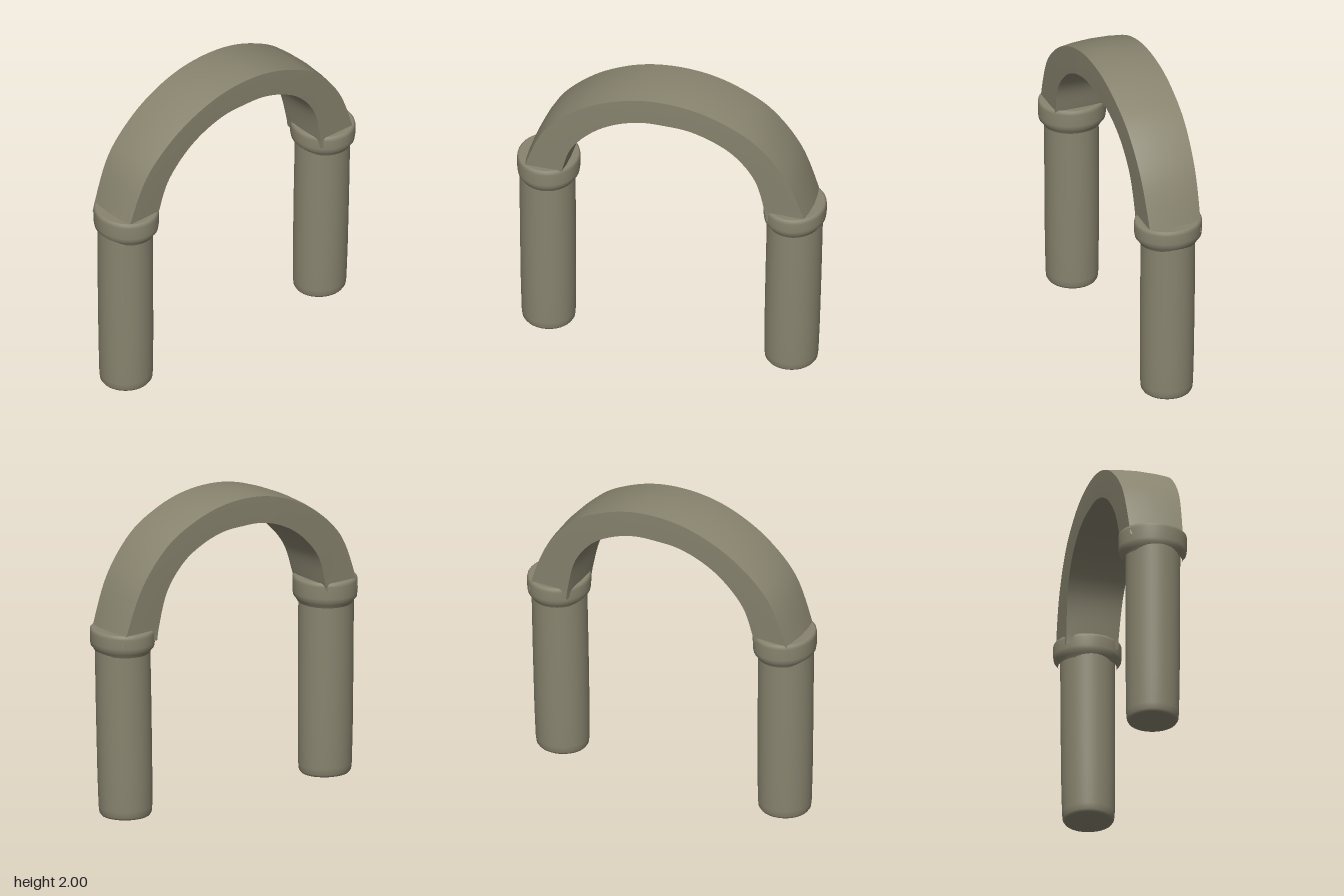
import * as THREE from 'three';

const stone = new THREE.MeshStandardMaterial({ color: 0x88846f });
stone.name = 'weathered stone';

// Turned part with an elliptical plan; x may lean with height
function turned(name, profile, x, zScale, lean = 0) {
  const geometry = new THREE.LatheGeometry(profile.map(([r, y]) => new THREE.Vector2(r, y)), 40);
  const p = geometry.attributes.position;
  for (let i = 0; i < p.count; i++) {
    p.setXYZ(i, p.getX(i) + x + lean * p.getY(i), p.getY(i), p.getZ(i) * zScale);
  }
  const mesh = new THREE.Mesh(geometry, stone);
  mesh.name = name;
  return mesh;
}

// Shaft with a softly worn foot, running up into the capital
function column(name, x, lean, bottom, top) {
  return turned(name, [
    [0, bottom], [0.14, bottom], [0.156, bottom + 0.005], [0.166, bottom + 0.02],
    [0.17, bottom + 0.06], [0.174, 0.3], [0.176, 0.7], [0.176, top],
  ], x, 0.97, lean);
}

// Round collar with a flared underside and a crisper top edge
function capital(name, x, bottom, top) {
  return turned(name, [
    [0.168, bottom - 0.02], [0.178, bottom], [0.192, bottom + 0.018], [0.196, bottom + 0.045],
    [0.197, top - 0.025], [0.194, top - 0.008], [0.186, top], [0.18, top], [0, top],
  ], x, 1.1);
}

// Arch swept between an outer and an inner curve, with four crisp-edged faces
function arch() {
  const curve = (pts) => new THREE.CatmullRomCurve3(pts.map(([x, y]) => new THREE.Vector3(x, y, 0)));
  const outer = curve([
    [-0.95, 1.22], [-0.93, 1.29], [-0.8, 1.6], [-0.6, 1.8], [-0.4, 1.915], [-0.2, 1.98], [0, 2],
    [0.2, 1.98], [0.4, 1.915], [0.6, 1.8], [0.8, 1.56], [0.925, 1.25], [0.945, 1.18],
  ]);
  const inner = curve([
    [-0.68, 1.22], [-0.66, 1.29], [-0.6, 1.48], [-0.46, 1.645], [-0.31, 1.74], [-0.15, 1.79], [0, 1.797],
    [0.15, 1.79], [0.3, 1.745], [0.45, 1.655], [0.575, 1.49], [0.635, 1.25], [0.645, 1.18],
  ]);
  // Section faces: [position from inner to outer, position across the depth]
  const lo = 0.05, hi = 0.93;
  const faces = [
    [[lo, 0.985], [0.5, 1], [hi, 1]],
    [[hi, 1], [0.975, 0.6], [1, 0], [0.975, -0.6], [hi, -1]],
    [[hi, -1], [0.5, -1], [lo, -0.985]],
    [[lo, -0.985], [0.01, -0.6], [0, 0], [0.01, 0.6], [lo, 0.985]],
  ];
  const steps = 72, position = [], index = [];
  for (const face of faces) {
    const start = position.length / 3, n = face.length;
    for (let i = 0; i <= steps; i++) {
      const a = inner.getPoint(i / steps), b = outer.getPoint(i / steps);
      const rise = Math.min(1, Math.max(0, (b.y - 1.25) / 0.7));
      const depth = 0.171 + 0.024 * rise;
      for (const [u, v] of face) {
        const q = a.clone().lerp(b, u);
        position.push(q.x, q.y, v * depth - 0.006);
      }
    }
    for (let i = 0; i < steps; i++) {
      for (let j = 0; j < n - 1; j++) {
        const k = start + i * n + j;
        index.push(k, k + n, k + 1, k + n, k + n + 1, k + 1);
      }
    }
  }
  const geometry = new THREE.BufferGeometry();
  geometry.setAttribute('position', new THREE.Float32BufferAttribute(position, 3));
  geometry.setIndex(index);
  geometry.computeVertexNormals();
  const mesh = new THREE.Mesh(geometry, stone);
  mesh.name = 'arch';
  return mesh;
}

export function createModel() {
  const group = new THREE.Group();
  group.name = 'stone archway';
  group.add(
    column('rightColumn', -0.805, -0.008, 0, 1.2),
    column('leftColumn', 0.775, 0.022, 0.02, 1.18),
    capital('rightCapital', -0.805, 1.14, 1.29),
    capital('leftCapital', 0.801, 1.12, 1.25),
    arch(),
  );
  return group;
}
